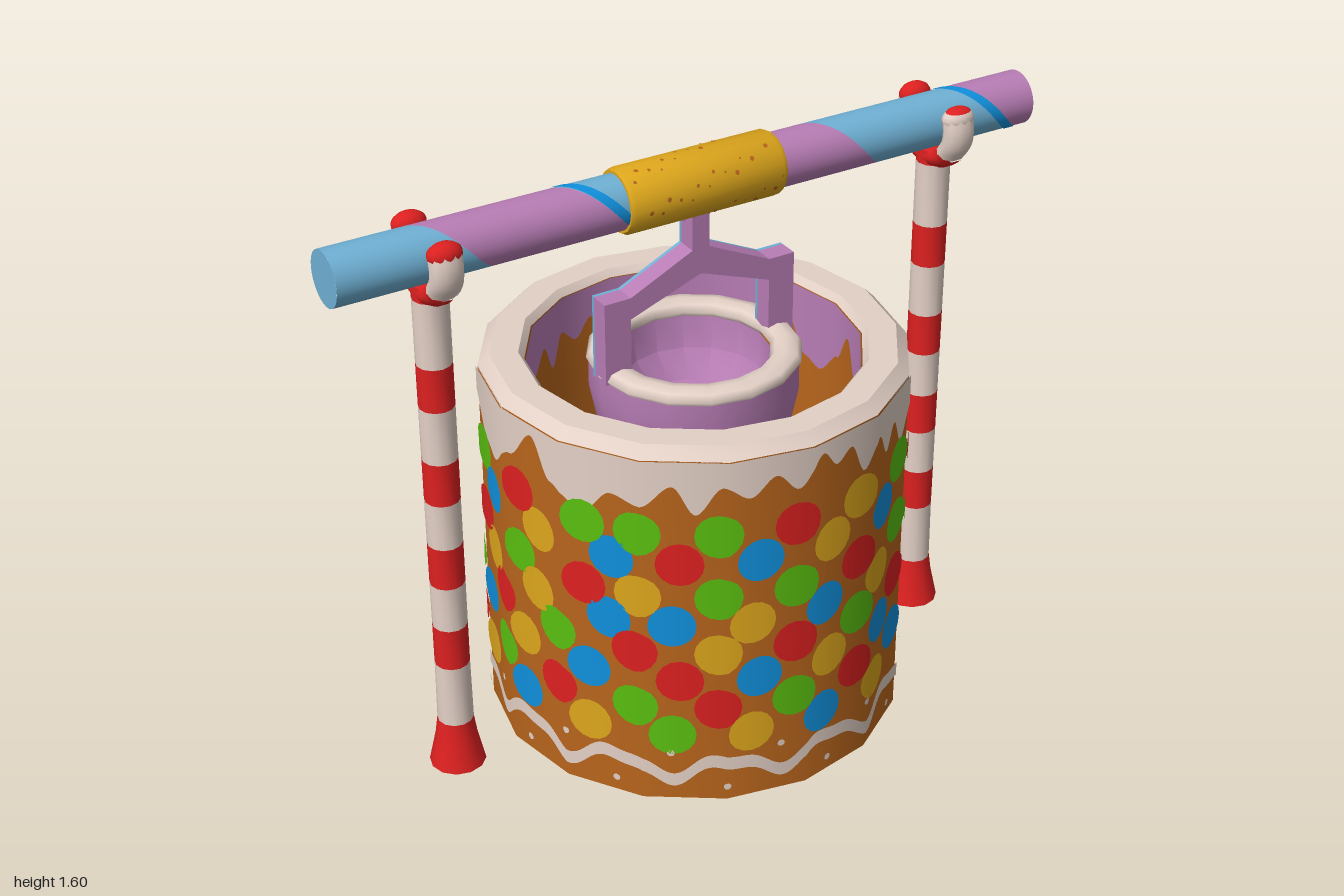
import * as THREE from 'three';
import { mergeGeometries, toCreasedNormals } from 'three/addons/utils/BufferGeometryUtils.js';

const SIDES = 16, DEG = Math.PI / 180;
const mat = (name, color) => {
  const m = new THREE.MeshStandardMaterial({ color });
  m.name = name;
  return m;
};

export function createModel() {
  const root = new THREE.Group();
  root.name = 'candyWell';
  const purple = mat('purple icing', 0xb87db5), cream = mat('cream icing', 0xe3d0c6);
  const red = mat('candy red', 0xdd2020), brown = mat('gingerbread', 0xb8651c);
  const gold = mat('candy gold', 0xdda61c), green = mat('candy green', 0x5abf10);
  const blue = mat('candy blue', 0x1090dc), lightBlue = mat('light blue', 0x6fb0d4);

  const add = (name, geo, material, parent = root) => {
    const mesh = new THREE.Mesh(geo, material);
    mesh.name = name;
    parent.add(mesh);
    return mesh;
  };
  const lathe = (pts, sides = SIDES) => toCreasedNormals(
    new THREE.LatheGeometry(pts.map(p => new THREE.Vector2(...p)), sides), 0.6);

  // Wraps a flat sheet (x = angle, y = height) round a many-sided wall
  const wrap = (geo, R, inside = false) => {
    const p = geo.attributes.position, n = geo.attributes.normal, step = 2 * Math.PI / SIDES;
    for (let i = 0; i < p.count; i++) {
      const t = inside ? -p.getX(i) : p.getX(i), s = inside ? -1 : 1;
      const d = t - (Math.floor(t / step) + 0.5) * step;
      const r = R * Math.cos(step / 2) / Math.cos(d);
      p.setXYZ(i, r * Math.sin(t), p.getY(i), r * Math.cos(t));
      n.setXYZ(i, s * Math.sin(t), 0, s * Math.cos(t));
    }
    return geo;
  };
  // Strip round the wall between two height rules
  const strip = (R, top, bottom, inside) => {
    const g = new THREE.PlaneGeometry(2 * Math.PI, 1, 480, 1), p = g.attributes.position;
    for (let i = 0; i < p.count; i++) p.setY(i, (p.getY(i) > 0 ? top : bottom)(p.getX(i)));
    return wrap(g, R, inside);
  };
  // Flat round spot on the wall
  const spot = (R, angle, y, r, rings = 4) => {
    const g = new THREE.RingGeometry(0, r, 16, rings);
    g.scale(1 / R, 1, 1).translate(angle, y, 0);
    return wrap(g, R + 0.007);
  };

  // Well wall, rim, inside and floor
  add('wellWall', lathe([[0.56, 0], [0.56, 1.03]]), brown);
  add('wellRim', lathe([[0.56, 1.025], [0.56, 1.03], [0.53, 1.06], [0.455, 1.06], [0.44, 1.04]]), cream);
  add('wellInside', lathe([[0.44, 1.04], [0.44, 0.5]]), brown);
  add('wellFloor', new THREE.CircleGeometry(0.44, SIDES).rotateX(-Math.PI / 2).translate(0, 0.5, 0), purple);
  add('wellUnderside', lathe([[0, 0], [0.56, 0]]), purple);

  // Dripping icing: lower edge heights by angle, repeated on the far half
  const edge = [[-45, 0.9], [-37, 0.96], [-31, 0.88], [-24, 0.96], [-17, 0.92], [-10, 0.97], [-4, 0.92], [3, 1],
    [8, 0.95], [13, 0.98], [18, 0.89], [24, 0.96], [29, 0.89], [34, 0.95], [39, 0.87], [46, 0.95], [53, 0.87],
    [65, 0.98], [76, 0.86], [83, 0.84], [93, 0.91], [102, 1], [109, 0.9], [119, 0.85], [127, 0.92], [135, 0.9]];
  const drip = t => {
    const a = ((t / DEG + 45) % 180 + 180) % 180 - 45;
    const i = edge.findIndex((e, k) => k > 0 && a <= e[0]);
    const [p, q] = [edge[i - 1], edge[i]];
    return THREE.MathUtils.lerp(p[1], q[1], THREE.MathUtils.smoothstep(a, p[0], q[0]));
  };
  add('outerDrips', strip(0.565, () => 1.03, drip), cream);
  add('innerDrips', strip(0.436, () => 1.04, t => drip(t) - 0.02, true), purple);

  // Candy buttons: height, then start angle and colours for the front and the side, repeated behind
  const rows = [
    [0.82, -46, 'GGRYG', 50, 'RGRG'], [0.735, -35, 'RBYB', 58, 'YBYB'],
    [0.635, -46, 'YGGRG', 50, 'GRGR'], [0.55, -37, 'BYBY', 57, 'BYYB'],
    [0.465, -25, 'YRGR', 64, 'GRGR'], [0.38, -35, 'RBYB', 51, 'YBYB'],
    [0.295, -25, 'RGRB', 64, 'RGRG'], [0.21, -37, 'GYBY', 51, 'BYBY'],
  ];
  const candy = { R: [red, []], Y: [gold, []], G: [green, []], B: [blue, []] };
  for (const [y, frontStart, front, sideStart, side] of rows) {
    for (const turn of [0, 180]) {
      const put = (c, a) => candy[c][1].push(spot(0.56, (a + turn) * DEG, y, 0.062));
      [...front].forEach((c, i) => put(c, frontStart + i * 21));
      [...side].forEach((c, i) => put(c, sideStart + i * 23));
    }
  }
  for (const [material, list] of Object.values(candy)) add('candyButtons', mergeGeometries(list), material);

  // Wavy icing line with dots near the foot
  const wave = t => 0.1 + 0.028 * Math.sin(12 * t) + 0.01 * Math.sin(24 * t + 1);
  add('wavyLine', strip(0.565, t => wave(t) + 0.02, t => wave(t) - 0.02), cream);
  const dots = [];
  for (let i = 0; i < 24; i++) dots.push(spot(0.56, (i + 0.5) * Math.PI / 12, i % 2 ? 0.15 : 0.045, 0.01, 1));
  add('icingDots', mergeGeometries(dots), cream);

  // Bucket
  add('bucketBody', lathe([[0, 0.7], [0.19, 0.7], [0.25, 0.82], [0.276, 0.95], [0.276, 1.02]]), purple);
  add('bucketInside', lathe([[0.2, 1.02], [0.19, 0.93], [0.14, 0.86], [0, 0.84]]), purple);
  add('bucketRim', new THREE.TorusGeometry(0.24, 0.042, 8, SIDES).rotateX(Math.PI / 2).scale(1, 0.6, 1).translate(0, 1.03, 0), cream);

  // Bucket handle: purple front half, blue back half
  const half = [[0.025, 1.44], [0.025, 1.335], [0.205, 1.25], [0.28, 1.25], [0.28, 1.02], [0.205, 1.02], [0.205, 1.19]];
  const outline = [...half, [0, 1.265], ...half.map(([x, y]) => [-x, y]).reverse()];
  const handleShape = new THREE.Shape(outline.map(p => new THREE.Vector2(...p)));
  for (const [z, m, n] of [[-0.022, purple, 'handleFront'], [-0.032, lightBlue, 'handleBack']]) {
    const depth = m === purple ? 0.054 : 0.01;
    add(n, new THREE.ExtrudeGeometry(handleShape, { depth, bevelEnabled: false }).translate(0, 0, z), m);
  }

  // Crossbar made of slanting bands
  const cy = 1.508;
  const band = (a, b, r) => {
    const g = new THREE.PlaneGeometry(1, 1, 64, 1), p = g.attributes.position, n = g.attributes.normal;
    for (let i = 0; i < p.count; i++) {
      const t = p.getX(i) * 2 * Math.PI;
      const x = (p.getY(i) > 0 ? b : a) + t * 0.065;
      p.setXYZ(i, THREE.MathUtils.clamp(x, -1, 1), cy + r * Math.cos(t), r * Math.sin(t));
      n.setXYZ(i, 0, Math.cos(t), Math.sin(t));
    }
    return g;
  };
  const bands = (pairs, r) => mergeGeometries(pairs.map(([a, b]) => band(a, b, r)));
  add('barPurpleBands', bands([[-0.75, -0.36], [0, 0.36], [0.79, 1.3]], 0.072), purple);
  add('barBlueBands', bands([[-1.3, -0.75], [-0.36, 0], [0.36, 0.79]], 0.072), lightBlue);
  add('barThinStripes', bands([[-0.36, -0.328], [0.765, 0.797]], 0.074), blue);
  for (const s of [-1, 1]) {
    add('barEnd', new THREE.CircleGeometry(0.072, 32).rotateY(s * Math.PI / 2).translate(s, cy, 0), s > 0 ? purple : lightBlue);
  }

  // Gold sleeve with crumbs
  const sleeve = new THREE.Group();
  sleeve.name = 'sleeve';
  sleeve.position.y = cy;
  sleeve.rotation.z = Math.PI / 2;
  root.add(sleeve);
  add('sleeveBody', lathe([[0.07, -0.225], [0.08, -0.225], [0.086, -0.212], [0.086, 0.212], [0.08, 0.225], [0.07, 0.225]]), gold, sleeve);
  const crumbs = [];
  for (let i = 0; i < 70; i++) crumbs.push(spot(0.082, i * 1.73, ((i * 0.618) % 1 - 0.5) * 0.41, 0.003 + (i % 3) * 0.0015, 1));
  add('sleeveCrumbs', mergeGeometries(crumbs), brown, sleeve);

  // Striped posts with flared feet and forked tops
  const cuts = [0.14, 0.32, 0.44, 0.57, 0.69, 0.82, 0.94, 1.09, 1.21, 1.39, 1.43];
  const V = (z, y) => new THREE.Vector3(0, y, z);
  for (const s of [-1, 1]) {
    const post = new THREE.Group();
    post.name = s > 0 ? 'leftPost' : 'rightPost';
    post.position.x = s * 0.735;
    root.add(post);
    add('postFoot', lathe([[0, 0], [0.075, 0], [0.066, 0.04], [0.055, 0.09], [0.048, 0.14]], 12), red, post);
    for (let i = 0; i < cuts.length - 1; i++) {
      add('postStripe', lathe([[i ? 0.046 : 0.048, cuts[i]], [0.046, cuts[i + 1]]], 12), i % 2 ? red : cream, post);
    }
    const fork = new THREE.Group();
    fork.name = 'fork';
    fork.scale.x = 1.45;
    post.add(fork);
    const tube = (pts, n) => new THREE.TubeGeometry(new THREE.CatmullRomCurve3(pts), n, 0.031, 10);
    add('forkBase', tube([V(-0.08, 1.445), V(-0.05, 1.42), V(0, 1.41), V(0.05, 1.42), V(0.08, 1.445)], 10), red, fork);
    for (const z of [-1, 1]) {
      add('forkArm', tube([V(z * 0.076, 1.442), V(z * 0.097, 1.475), V(z * 0.101, 1.51), V(z * 0.095, 1.542)], 8), cream, fork);
      const tip = (name, material, from, to) => add(name,
        new THREE.SphereGeometry(0.032, 12, 8, 0, Math.PI * 2, from, to - from).translate(0, 1.543, z * 0.095), material, fork);
      const redPart = s > 0 && z > 0 ? 0.9 : Math.PI * 0.6;
      tip('forkTip', red, 0, redPart);
      tip('forkTipBase', cream, redPart, Math.PI);
    }
  }
  return root;
}
